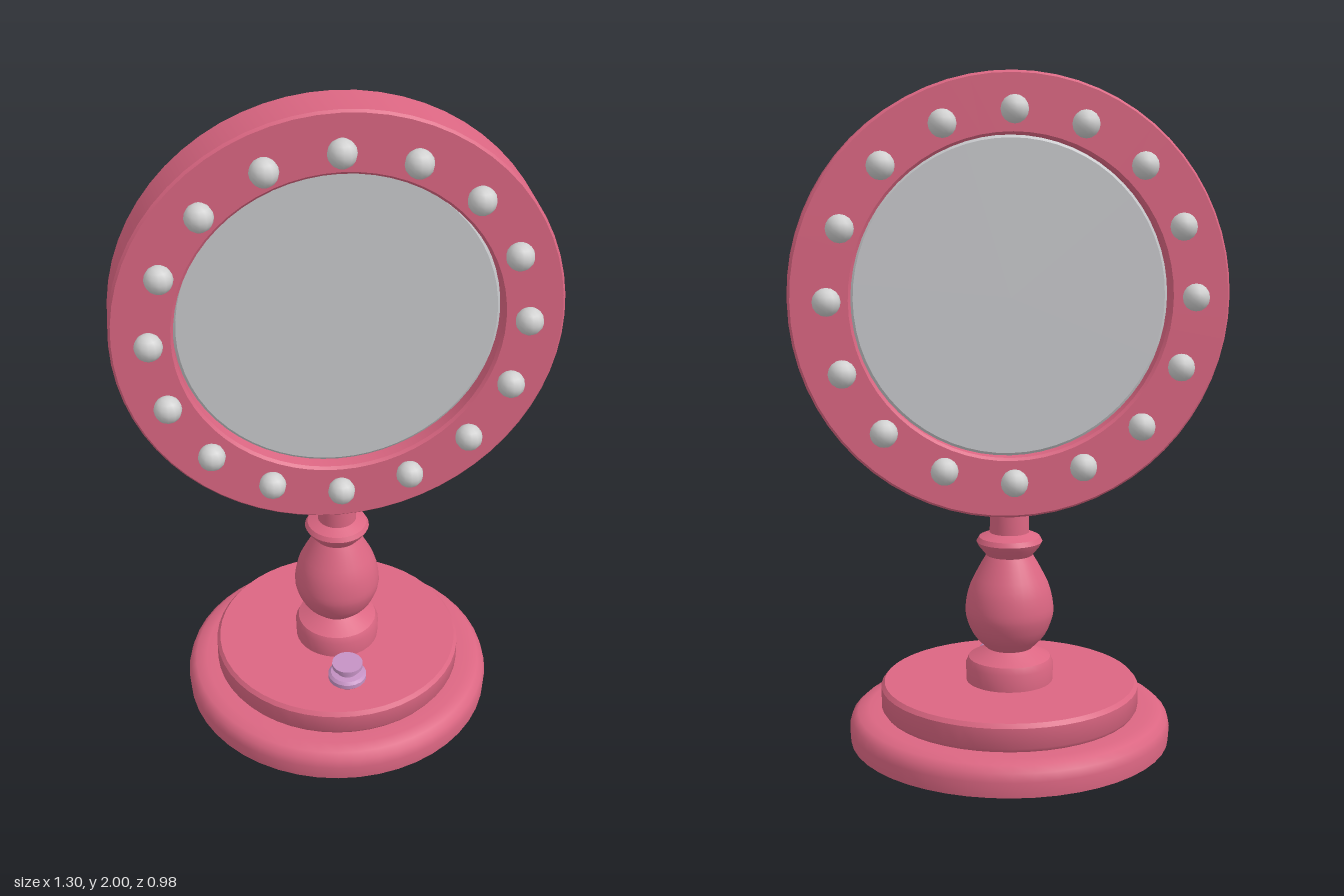
import * as THREE from 'three';
import { toCreasedNormals } from 'three/addons/utils/BufferGeometryUtils.js';

const material = (name, color) => {
  const m = new THREE.MeshStandardMaterial({ color });
  m.name = name;
  return m;
};

// Turned part: profile of [radius, height] points, listed upwards on the outside
function turned(points, segments, crease = 0.6) {
  const profile = points.map(([r, y]) => new THREE.Vector2(r, y));
  return toCreasedNormals(new THREE.LatheGeometry(profile, segments), crease);
}

export function createModel() {
  const pink = material('pink', 0xdb6682);
  const glass = material('mirrorGrey', 0xc8c9cc);
  const pearl = material('bulbGrey', 0xd0d0d0);
  const lilac = material('lilac', 0xc592c4);

  const model = new THREE.Group();
  model.name = 'vanityMirror';
  const add = (name, geometry, mat, parent = model) => {
    const mesh = new THREE.Mesh(geometry, mat);
    mesh.name = name;
    parent.add(mesh);
    return mesh;
  };

  // Stepped round base
  add('base', turned([
    [0, 0], [0.487, 0], [0.49, 0.045], [0.483, 0.07], [0.465, 0.087], [0.43, 0.093],
    [0.385, 0.093], [0.393, 0.105], [0.393, 0.165], [0.383, 0.177], [0, 0.177],
  ], 48), pink);

  // Turned stem: foot, bulb, collar and neck
  const bulbCurve = new THREE.SplineCurve([
    [0.07, 0.28], [0.108, 0.32], [0.13, 0.37], [0.134, 0.41],
    [0.122, 0.47], [0.093, 0.53], [0.07, 0.57],
  ].map(([x, y]) => new THREE.Vector2(x, y)));
  add('stem', turned([
    [0.132, 0.17], [0.134, 0.23], [0.125, 0.25], [0.09, 0.268],
    ...bulbCurve.getPoints(16).map((p) => [p.x, p.y]),
    [0.092, 0.597], [0.1, 0.612], [0.092, 0.626], [0.06, 0.64], [0.058, 0.73],
  ], 32), pink);

  // Knob on the front of the base
  const knob = add('knob', turned([
    [0.048, 0], [0.06, 0.012], [0.06, 0.026], [0.052, 0.034], [0.034, 0.037],
    [0.034, 0.044], [0.048, 0.056], [0.048, 0.07], [0, 0.07],
  ], 20), lilac);
  knob.position.set(0, 0.175, 0.235);

  // Head: lathe axis turned to face +z
  const head = new THREE.Group();
  head.name = 'mirrorHead';
  head.position.y = 1.35;
  model.add(head);

  const frame = add('frame', turned([
    [0.47, -0.07], [0.478, -0.078], [0.643, -0.078], [0.65, -0.07],
    [0.65, 0.07], [0.643, 0.078], [0.478, 0.078], [0.47, 0.07], [0.47, -0.07],
  ], 64), pink, head);
  frame.rotation.x = Math.PI / 2;

  // Double-sided mirror, recessed in the frame
  const mirror = add('mirror', turned([
    [0, -0.035], [0.462, -0.035], [0.472, -0.028],
    [0.472, 0.028], [0.462, 0.035], [0, 0.035],
  ], 64), glass, head);
  mirror.rotation.x = Math.PI / 2;

  // Sixteen bulbs around each face
  const bulb = new THREE.SphereGeometry(0.041, 12, 8);
  for (const side of [1, -1]) {
    for (let i = 0; i < 16; i++) {
      const a = (i / 16) * Math.PI * 2;
      const name = (side > 0 ? 'frontBulb' : 'backBulb') + (i + 1);
      const mesh = add(name, bulb, pearl, head);
      mesh.position.set(Math.sin(a) * 0.54, Math.cos(a) * 0.54, side * 0.101);
    }
  }

  return model;
}
